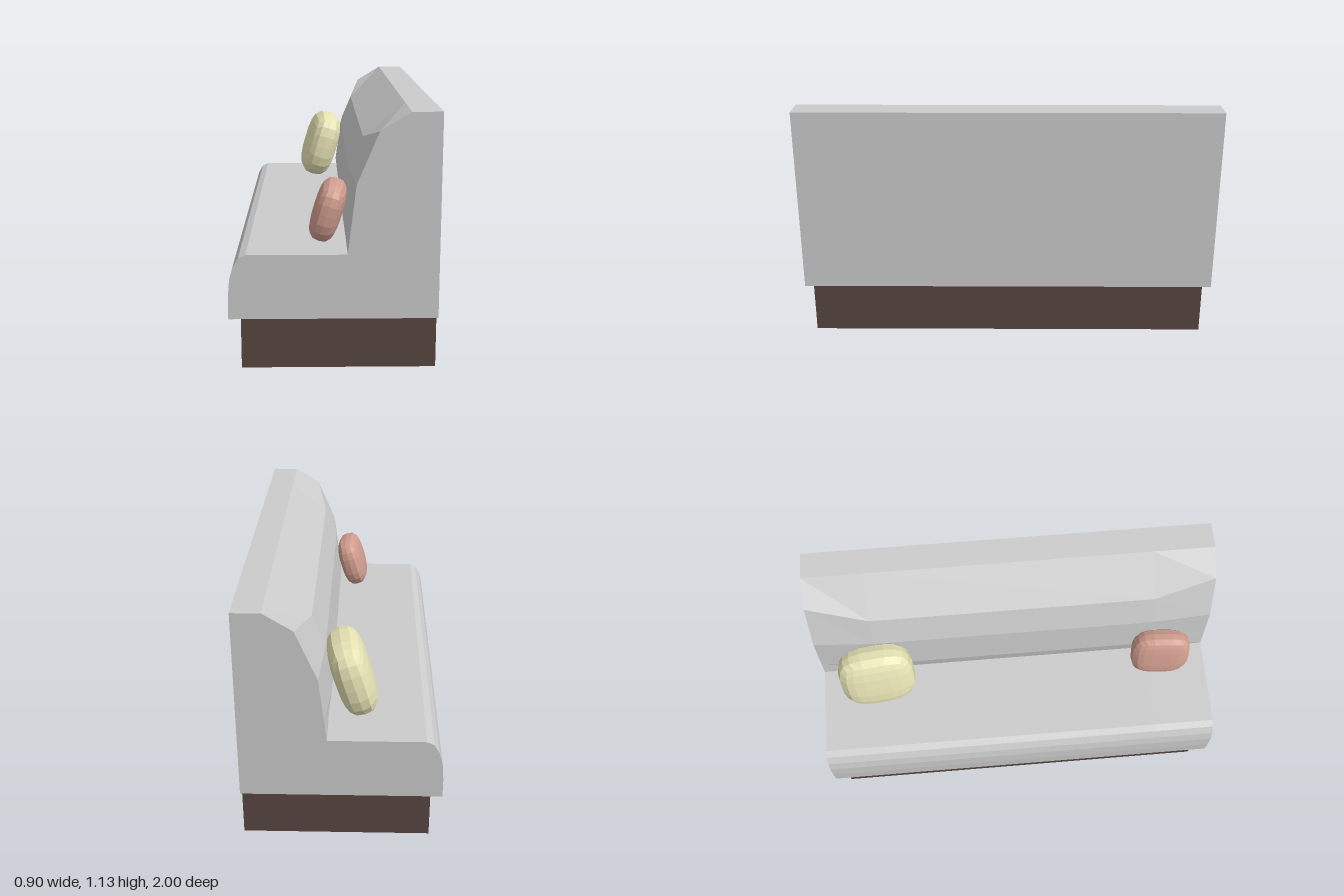
import * as THREE from 'three';

const grey = (color = 0xcccccc) => new THREE.MeshStandardMaterial({ color, flatShading: true });

// Outline of the upholstery (counter-clockwise); only the backrest face differs along z
const outline = (backFace) => [
  [0.45, 0.24], [0.45, 1.13], [0.32, 1.13],
  ...backFace,
  [0.06, 0.525], [-0.372, 0.525], [-0.404, 0.51], [-0.428, 0.47],
  [-0.443, 0.415], [-0.45, 0.33], [-0.45, 0.24],
];
const endOutline = outline([[0.19, 1.05], [0.095, 0.825], [0.07, 0.615]]);
const midOutline = outline([[0.135, 0.98], [0.075, 0.83], [0.047, 0.615]]);

// Joins cross-sections along z and closes both ends
function loft(sections) {
  const pos = [];
  const tri = (...corners) => corners.forEach((c) => pos.push(...c));
  const n = sections[0].points.length;
  const at = (s, i) => [...s.points[i % n], s.z];
  for (let k = 0; k < sections.length - 1; k++) {
    const s = sections[k], t = sections[k + 1];
    for (let i = 0; i < n; i++) {
      tri(at(s, i), at(s, i + 1), at(t, i + 1));
      tri(at(s, i), at(t, i + 1), at(t, i));
    }
  }
  const first = sections[0], last = sections[sections.length - 1];
  const contour = first.points.map(([x, y]) => new THREE.Vector2(x, y));
  for (const [a, b, c] of THREE.ShapeUtils.triangulateShape(contour, [])) {
    tri(at(last, a), at(last, b), at(last, c));
    tri(at(first, c), at(first, b), at(first, a));
  }
  const geo = new THREE.BufferGeometry();
  geo.setAttribute('position', new THREE.Float32BufferAttribute(pos, 3));
  geo.computeVertexNormals();
  return geo;
}

// Puffy cushion: a subdivided box pushed onto a rounded-square solid
function cushion(name, color, half, position, yaw, lean) {
  const geo = new THREE.BoxGeometry(2, 2, 2, 4, 6, 6);
  const p = geo.attributes.position;
  const v = new THREE.Vector3();
  const power = 3;
  for (let i = 0; i < p.count; i++) {
    v.fromBufferAttribute(p, i);
    const sum = Math.abs(v.x) ** power + Math.abs(v.y) ** power + Math.abs(v.z) ** power;
    v.multiplyScalar(sum ** (-1 / power));
    p.setXYZ(i, v.x * half[0], v.y * half[1], v.z * half[2]);
  }
  geo.computeVertexNormals();
  const mesh = new THREE.Mesh(geo, grey(color));
  mesh.name = name;
  mesh.position.set(...position);
  mesh.rotation.set(0, yaw, -lean);
  return mesh;
}

export function createModel() {
  const model = new THREE.Group();
  model.name = 'boothBench';

  // Recessed plinth
  const base = new THREE.Mesh(new THREE.BoxGeometry(0.847, 0.24, 1.914), grey(0x584640));
  base.name = 'plinth';
  base.position.set(0.0235, 0.12, 0);
  model.add(base);

  // Seat and backrest in one piece, the backrest swelling towards the middle
  const seat = new THREE.Mesh(loft([
    { z: -1, points: endOutline },
    { z: -0.7, points: midOutline },
    { z: 0.7, points: midOutline },
    { z: 1, points: endOutline },
  ]), grey());
  seat.name = 'seatAndBackrest';
  model.add(seat);

  // Loose cushions leaning on the backrest
  model.add(cushion('largeCushion', 0xe6e2b4, [0.088, 0.187, 0.19], [-0.043, 0.71, -0.702], 0.1, 0.3));
  model.add(cushion('smallCushion', 0xd09c8e, [0.065, 0.139, 0.15], [-0.02, 0.663, 0.752], -0.06, 0.3));
  return model;
}
